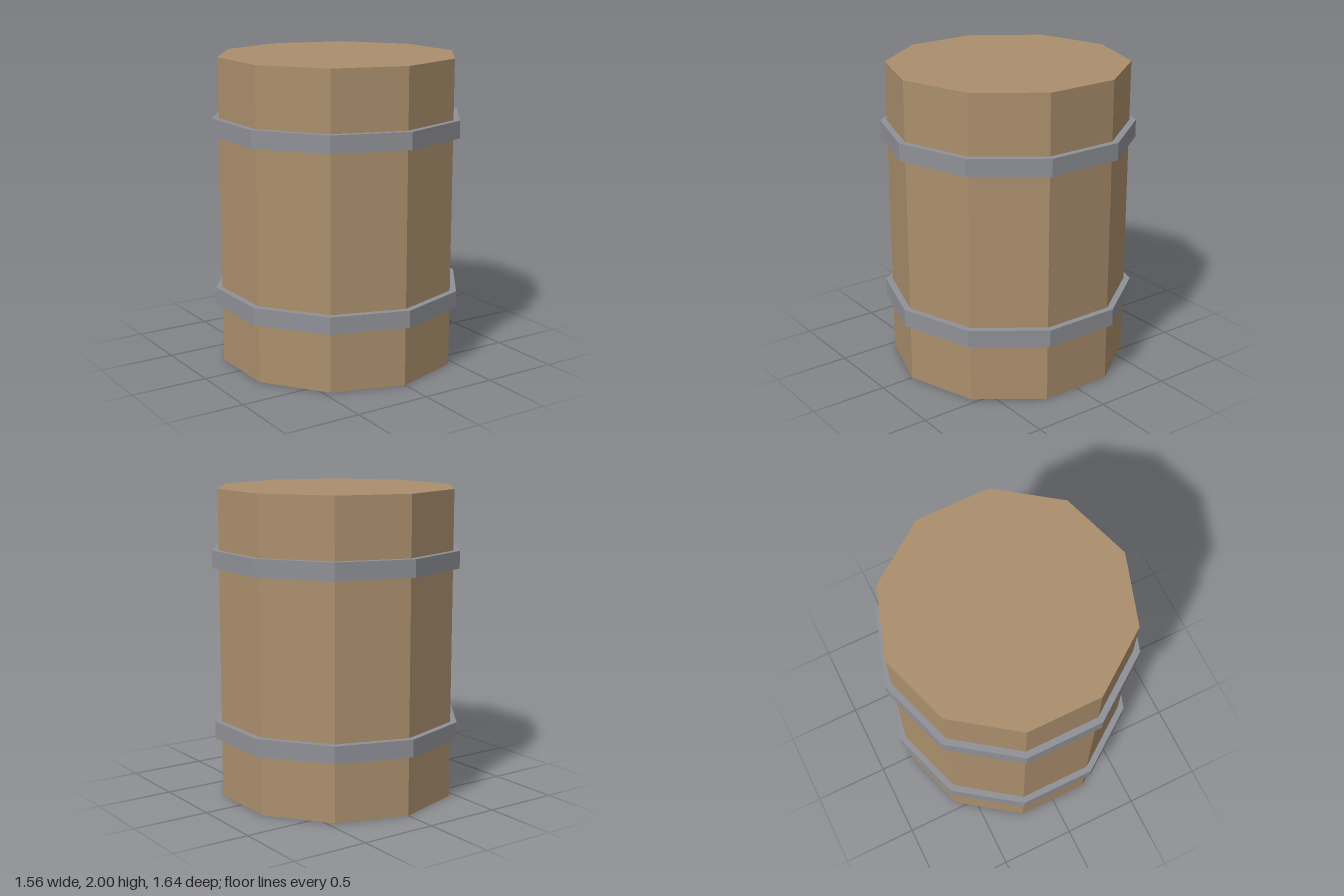
import * as THREE from 'three';

const SIDES = 10;

export function createModel() {
  const wood = new THREE.MeshStandardMaterial({ color: 0xab8f6d });
  wood.name = 'wood';
  const iron = new THREE.MeshStandardMaterial({ color: 0x8f9197 });
  iron.name = 'iron';

  // Ten-sided prism with corners on the z axis and hard facets
  const prism = (name, radius, bottom, top, material) => {
    const geometry = new THREE.CylinderGeometry(radius, radius, top - bottom, SIDES).toNonIndexed();
    geometry.computeVertexNormals();
    const mesh = new THREE.Mesh(geometry, material);
    mesh.name = name;
    mesh.position.y = (bottom + top) / 2;
    return mesh;
  };

  const barrel = new THREE.Group();
  barrel.name = 'barrel';

  // Straight wooden body
  barrel.add(prism('body', 0.777, 0, 2, wood));

  // Metal hoops
  barrel.add(prism('lowerHoop', 0.82, 0.39, 0.502, iron));
  barrel.add(prism('upperHoop', 0.82, 1.503, 1.615, iron));

  return barrel;
}
